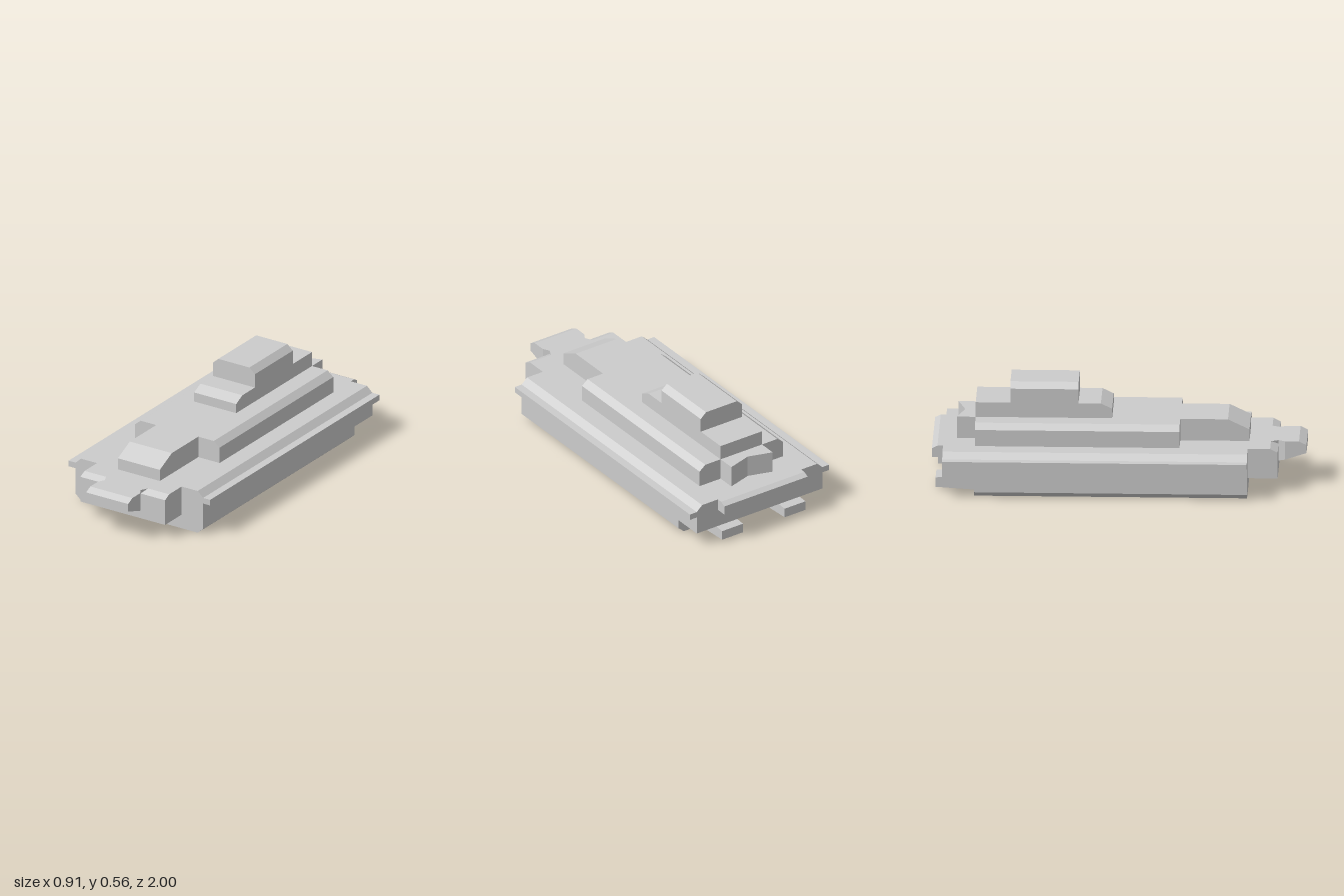
import * as THREE from 'three';

const material = new THREE.MeshStandardMaterial({ color: 0xcccccc, flatShading: true });

function part(name, geometry, x = 0) {
  const mesh = new THREE.Mesh(geometry, material);
  mesh.name = name;
  mesh.position.x = x;
  return mesh;
}

// Prism along z from the right half of a symmetric xy profile, listed bottom to top.
function prism(half, zBack, zFront) {
  const left = half.map(([x, y]) => [-x, y]).reverse();
  const shape = new THREE.Shape([...half, ...left].map(([x, y]) => new THREE.Vector2(x, y)));
  return new THREE.ExtrudeGeometry(shape, { depth: zFront - zBack, bevelEnabled: false })
    .translate(0, 0, zBack);
}

// Rectangular sections [z, halfWidth, bottom, top] joined from back to front.
function loft(sections) {
  const pos = [];
  const rings = sections.map(([z, w, b, t]) => [[-w, b, z], [w, b, z], [w, t, z], [-w, t, z]]);
  const quad = (a, b, c, d) => [a, b, c, a, c, d].forEach(p => pos.push(...p));
  for (let s = 0; s < rings.length - 1; s++) {
    for (let i = 0; i < 4; i++) {
      const j = (i + 1) % 4;
      quad(rings[s][i], rings[s][j], rings[s + 1][j], rings[s + 1][i]);
    }
  }
  const back = rings[0], front = rings[rings.length - 1];
  quad(...front);
  quad(back[3], back[2], back[1], back[0]);
  const g = new THREE.BufferGeometry();
  g.setAttribute('position', new THREE.Float32BufferAttribute(pos, 3));
  g.computeVertexNormals();
  return g;
}

export function createModel() {
  const model = new THREE.Group();
  model.name = 'vehicle';

  // Hull with side ledges; the rear overhang has no lower portion
  const ledge = [[0.41, 0.18], [0.455, 0.18], [0.455, 0.213], [0.41, 0.213], [0.375, 0.245]];
  model.add(part('hull', prism([[0.375, 0], [0.41, 0.03], ...ledge], -0.77, 0.69)));
  model.add(part('rearOverhang', prism([[0.41, 0.08], ...ledge], -0.94, -0.77)));

  // Front block and notched nose
  model.add(part('frontBlock', loft([
    [0.69, 0.272, 0.08, 0.245], [0.81, 0.272, 0.08, 0.245], [0.85, 0.272, 0.08, 0.225],
  ])));
  model.add(part('nose', loft([
    [0.81, 0.135, 0.118, 0.245], [0.85, 0.115, 0.13, 0.245], [0.885, 0.135, 0.142, 0.245],
    [0.96, 0.135, 0.167, 0.245], [1, 0.135, 0.18, 0.225],
  ])));

  // Rear bar and the two tabs beneath it
  model.add(part('rearBar', loft([
    [-1, 0.272, 0.18, 0.23], [-0.97, 0.272, 0.18, 0.245], [-0.94, 0.272, 0.18, 0.245],
  ])));
  for (const side of [-1, 1]) {
    model.add(part(side > 0 ? 'leftRearTab' : 'rightRearTab', loft([
      [-0.98, 0.068, 0.014, 0.067], [-0.77, 0.068, 0, 0.078],
    ]), side * 0.204));
  }

  // Deck with a sloped front and a V-cut rear
  model.add(part('deck', prism(
    [[0.272, 0.245], [0.272, 0.335], [0.235, 0.365]], -0.77, 0.325)));
  model.add(part('deckFront', loft([
    [0.325, 0.135, 0.245, 0.365], [0.58, 0.135, 0.245, 0.365], [0.695, 0.135, 0.245, 0.31],
  ])));
  const plan = [[0.135, 0.77], [0.135, 0.87], [0, 0.83], [-0.135, 0.87], [-0.135, 0.77]];
  const rear = new THREE.ExtrudeGeometry(
    new THREE.Shape(plan.map(([x, y]) => new THREE.Vector2(x, y))),
    { depth: 0.12, bevelEnabled: false });
  model.add(part('deckRear', rear.rotateX(-Math.PI / 2).translate(0, 0.245, 0)));

  // Stepped upper structure
  model.add(part('upperDeck', loft([
    [-0.77, 0.135, 0.365, 0.447], [-0.1, 0.135, 0.365, 0.447], [-0.04, 0.135, 0.365, 0.418],
  ])));
  model.add(part('topBlock', prism(
    [[0.135, 0.447], [0.135, 0.525], [0.1, 0.556]], -0.585, -0.22)));

  return model;
}
